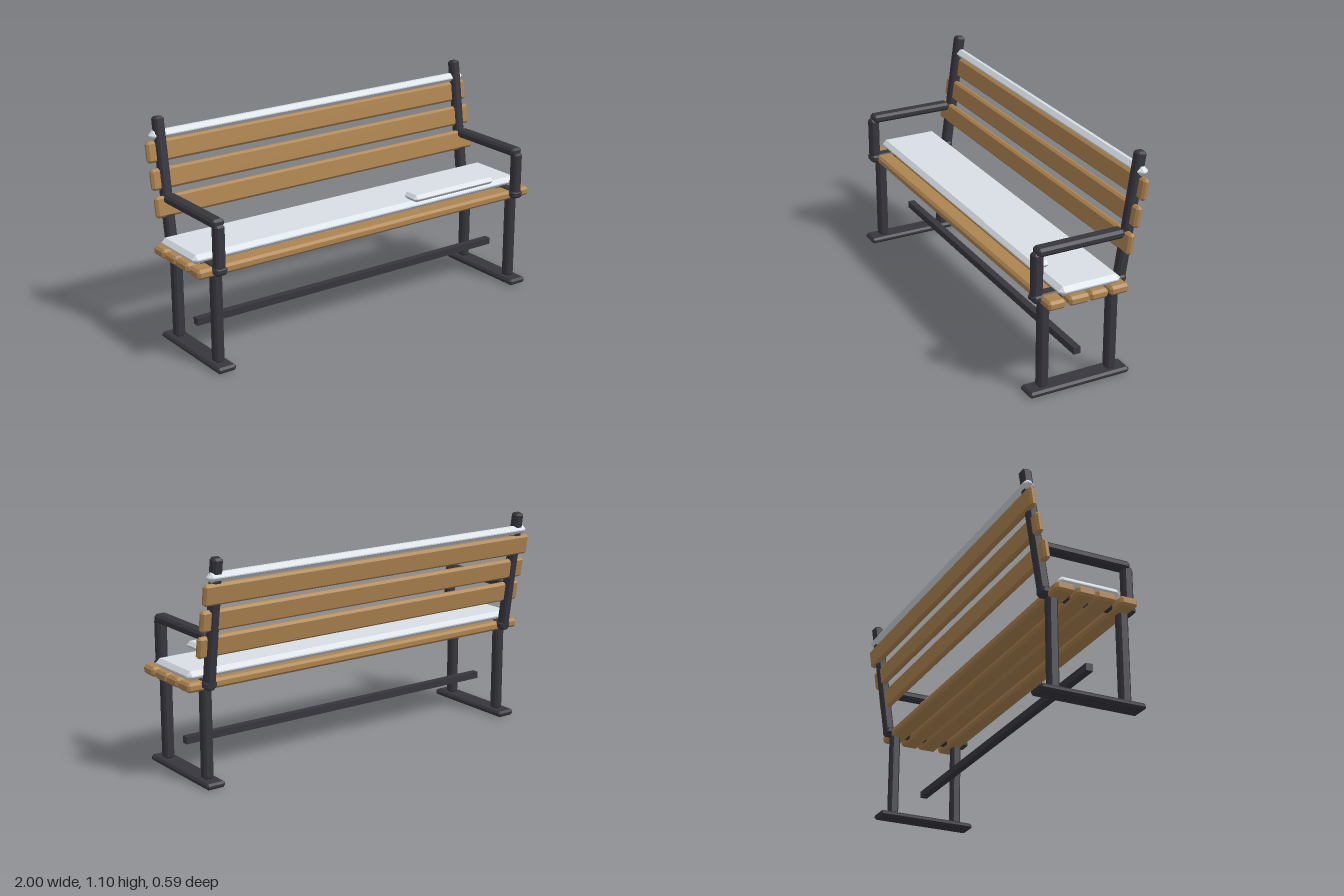
import * as THREE from 'three';
import { ConvexGeometry } from 'three/addons/geometries/ConvexGeometry.js';

const material = (name, color) => {
  const m = new THREE.MeshStandardMaterial({ color });
  m.name = name;
  return m;
};

// Box with flat single-cut bevels on every edge
function bevelledBox(w, h, d, bevel) {
  const points = [];
  for (const sx of [-1, 1]) for (const sy of [-1, 1]) for (const sz of [-1, 1]) {
    for (let axis = 0; axis < 3; axis++) {
      const p = [w, h, d].map((size, i) => size / 2 - (i === axis ? 0 : bevel));
      points.push(new THREE.Vector3(sx * p[0], sy * p[1], sz * p[2]));
    }
  }
  return new ConvexGeometry(points);
}

export function createModel() {
  const iron = material('dark iron', 0x38363e);
  const wood = material('bench wood', 0xae8450);
  const snow = material('snow', 0xd8dfe5);
  const bench = new THREE.Group();
  bench.name = 'bench';

  const add = (parent, name, mat, size, pos, bevel, tilt = 0) => {
    const geometry = bevel ? bevelledBox(...size, bevel) : new THREE.BoxGeometry(...size);
    const mesh = new THREE.Mesh(geometry, mat);
    mesh.name = name;
    mesh.position.set(...pos);
    mesh.rotation.x = tilt;
    parent.add(mesh);
  };
  const lean = -0.144;

  // Iron end frames, left and right
  for (const side of [-1, 1]) {
    const frame = new THREE.Group();
    frame.name = side > 0 ? 'leftFrame' : 'rightFrame';
    frame.position.x = side * 0.895;
    bench.add(frame);
    add(frame, 'foot', iron, [0.1, 0.03, 0.525], [0, 0.018, 0.033], 0.01);
    add(frame, 'frontLeg', iron, [0.05, 0.46, 0.05], [0, 0.26, 0.212], 0.01);
    add(frame, 'rearLeg', iron, [0.05, 0.46, 0.05], [0, 0.26, -0.145], 0.01);
    add(frame, 'seatRail', iron, [0.066, 0.042, 0.482], [0, 0.494, 0.034], 0.012);
    add(frame, 'backPost', iron, [0.05, 0.635, 0.05], [0, 0.783, -0.224], 0.01, lean);
    add(frame, 'armPost', iron, [0.05, 0.235, 0.05], [0, 0.597, 0.246], 0.01);
    add(frame, 'armrest', iron, [0.066, 0.042, 0.445], [0, 0.719, 0.032], 0.012);
  }
  add(bench, 'stretcher', iron, [1.81, 0.035, 0.035], [0, 0.17, 0.034], 0);

  // Seat slats: z centre and depth
  for (const [z, depth] of [[0.195, 0.09], [0.081, 0.105], [-0.02, 0.095], [-0.126, 0.097]])
    add(bench, 'seatSlat', wood, [2, 0.046, depth], [0, 0.487, z], 0.012);

  // Back slats: y and z centre
  for (const [y, z] of [[0.931, -0.263], [0.805, -0.231], [0.678, -0.199]])
    add(bench, 'backSlat', wood, [1.93, 0.102, 0.033], [0, y, z], 0.011, lean);

  // Snow lying on the seat, a loose slab and the top edge of the back
  add(bench, 'seatSnow', snow, [1.96, 0.046, 0.316], [0, 0.53, 0.012], 0.02);
  add(bench, 'snowSlab', snow, [0.52, 0.036, 0.102], [0.525, 0.577, 0.16], 0.0165);
  add(bench, 'backSnow', snow, [1.89, 0.043, 0.054], [0, 1.009, -0.267], 0.019);
  return bench;
}
